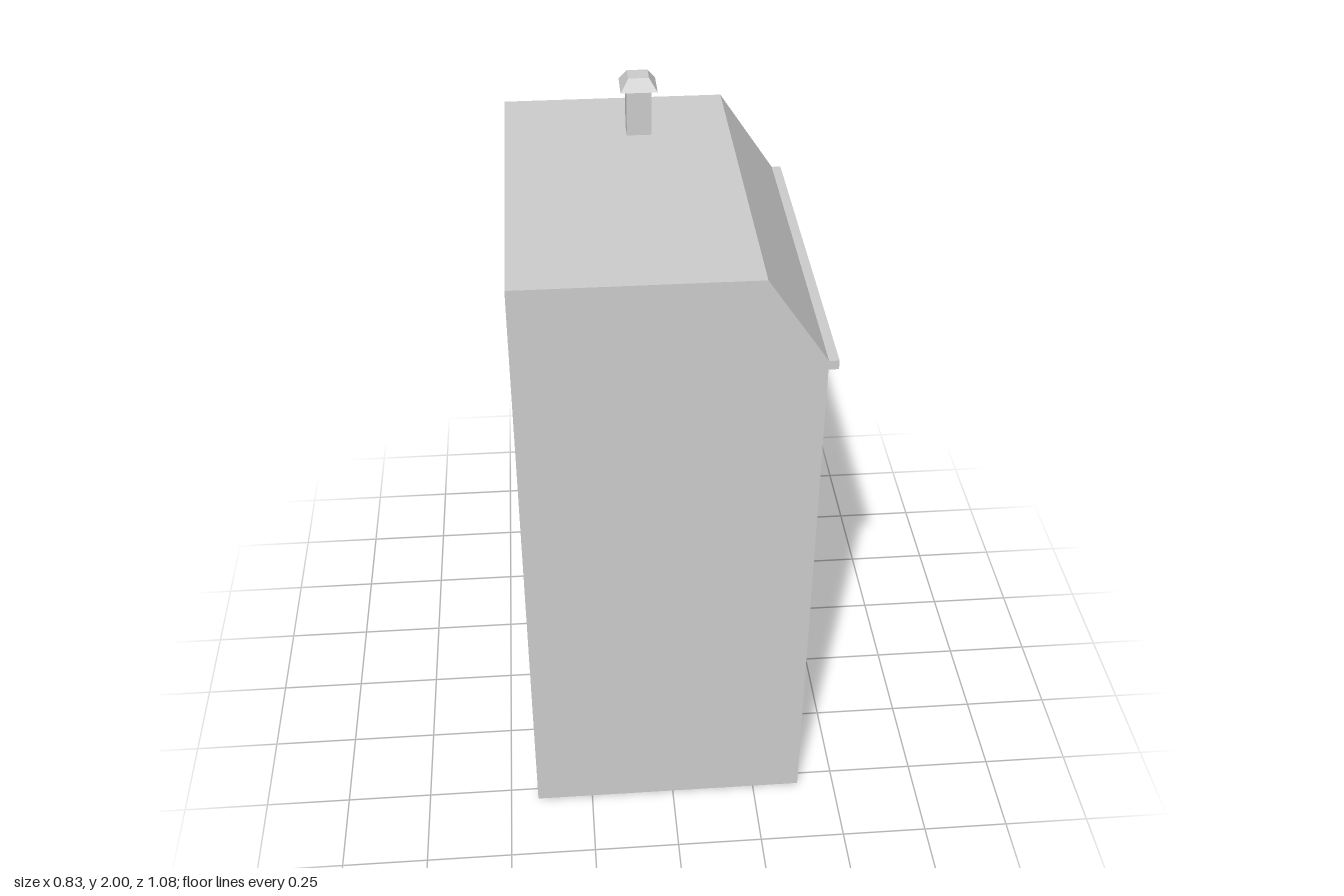
import * as THREE from 'three';

const solid = new THREE.MeshStandardMaterial({ color: 0xcccccc, flatShading: true });
const thin = new THREE.MeshStandardMaterial({ color: 0xcccccc, flatShading: true, side: THREE.DoubleSide });

const BACK = -0.417, FRONT = 0.39, HALF = 0.54;
const RIDGE = 0.225, TOP = 1.83, EAVE = 1.585;
const DOOR = { z: -0.267, y: 0.288, w: 0.154, h: 0.236, depth: 0.23 };

function rect(Type, cx, cy, w, h) {
  const p = new Type();
  p.moveTo(cx - w / 2, cy - h / 2);
  p.lineTo(cx + w / 2, cy - h / 2);
  p.lineTo(cx + w / 2, cy + h / 2);
  p.lineTo(cx - w / 2, cy + h / 2);
  p.closePath();
  return p;
}

export function createModel() {
  const house = new THREE.Group();
  house.name = 'townHouse';
  const add = (name, geometry, material, x = 0, y = 0, z = 0) => {
    const mesh = new THREE.Mesh(geometry, material);
    mesh.name = name;
    mesh.position.set(x, y, z);
    house.add(mesh);
    return mesh;
  };

  // Two side walls following the roof profile
  const gable = new THREE.Shape([
    [BACK, 0], [FRONT, 0], [FRONT, EAVE], [RIDGE, TOP], [BACK, TOP],
  ].map(([x, y]) => new THREE.Vector2(x, y)));
  for (const s of [1, -1]) add('sideWall', new THREE.ShapeGeometry(gable), thin, 0, 0, s * HALF);

  // Street wall with the door opening, turned to face +x (shape x becomes -z)
  const facade = rect(THREE.Shape, 0, EAVE / 2, HALF * 2, EAVE);
  facade.holes.push(rect(THREE.Path, -DOOR.z, DOOR.y, DOOR.w, DOOR.h));
  add('streetWall', new THREE.ShapeGeometry(facade).rotateY(Math.PI / 2), thin, FRONT);

  // Door recess: a box without its outer (+x) face
  const recess = new THREE.BoxGeometry(DOOR.depth, DOOR.h, DOOR.w);
  recess.setIndex(Array.from(recess.index.array).slice(6));
  recess.clearGroups();
  add('doorRecess', recess, thin, FRONT - DOOR.depth / 2, DOOR.y, DOOR.z);

  // Flat roof and sloping front roof
  const flat = new THREE.PlaneGeometry(RIDGE - BACK, HALF * 2).rotateX(-Math.PI / 2);
  add('flatRoof', flat, thin, (BACK + RIDGE) / 2, TOP);
  const run = FRONT - RIDGE, drop = TOP - EAVE;
  const slope = new THREE.PlaneGeometry(Math.hypot(run, drop), HALF * 2)
    .rotateX(-Math.PI / 2).rotateZ(-Math.atan2(drop, run));
  add('slopingRoof', slope, thin, (FRONT + RIDGE) / 2, (TOP + EAVE) / 2);

  // Eave strip
  add('eave', new THREE.BoxGeometry(0.027, 0.026, HALF * 2), solid, FRONT + 0.0135, 1.572);

  // Raised window frames, two columns of four
  const frame = rect(THREE.Shape, 0, 0, 0.17, 0.214);
  frame.holes.push(rect(THREE.Path, 0, 0, 0.138, 0.186));
  const frameGeometry = new THREE.ExtrudeGeometry(frame, { depth: 0.025, bevelEnabled: false })
    .rotateY(Math.PI / 2);
  for (const z of [0.275, -0.267]) {
    for (let i = 0; i < 4; i++) add('windowFrame', frameGeometry, solid, FRONT, 0.585 + i * 0.2785, z);
  }

  // Chimney shaft and tapered cap
  const CX = -0.035, CZ = -0.32;
  add('chimneyShaft', new THREE.BoxGeometry(0.07, 0.138, 0.07), solid, CX, TOP + 0.069, CZ);
  const cap = new THREE.CylinderGeometry(0.029 * Math.SQRT2, 0.052 * Math.SQRT2, 0.034, 4)
    .rotateY(Math.PI / 4);
  add('chimneyCap', cap, solid, CX, 1.983, CZ);

  return house;
}
